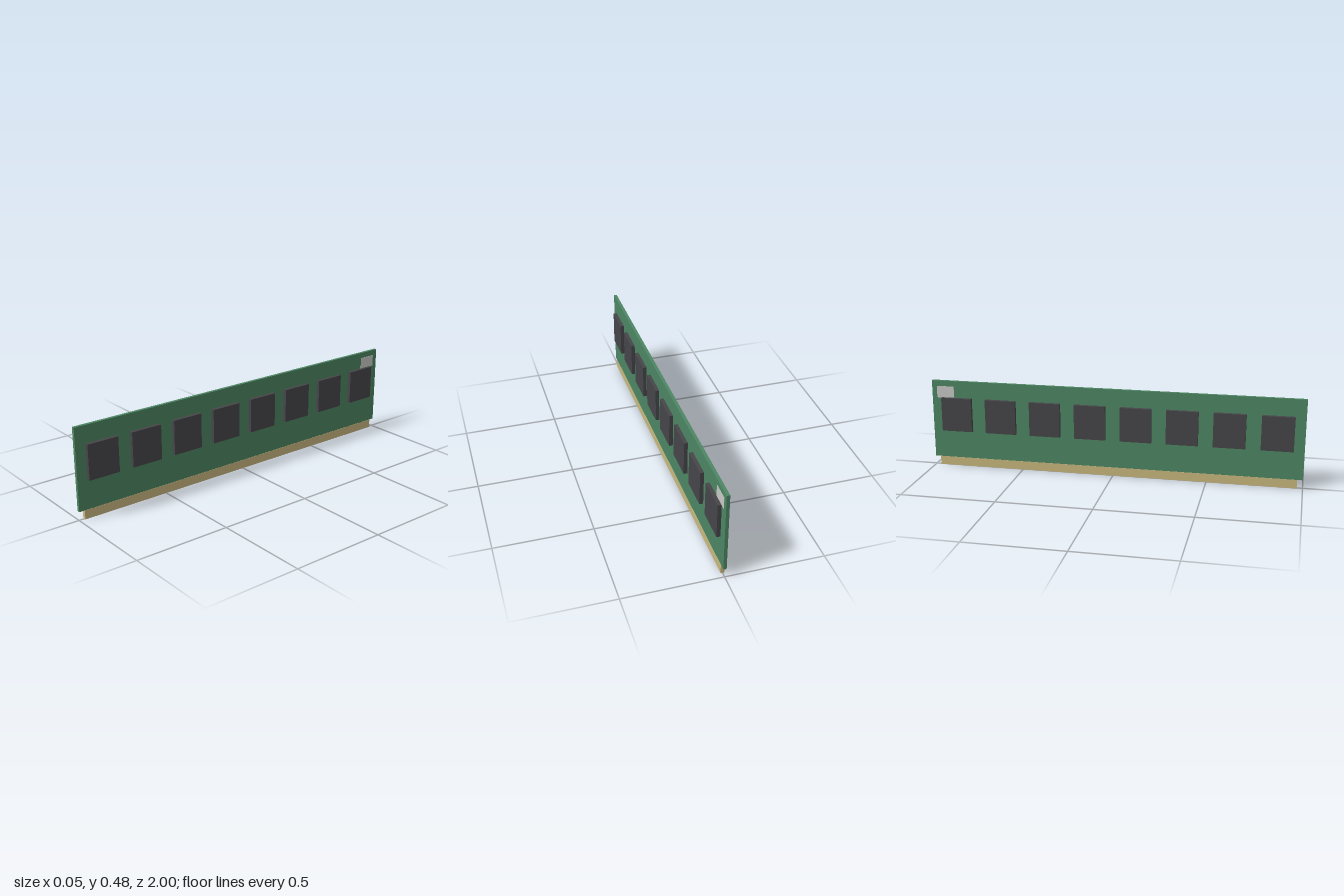
import * as THREE from 'three';

const material = (name, color) => {
  const m = new THREE.MeshStandardMaterial({ color });
  m.name = name;
  return m;
};

export function createModel() {
  const green = material('boardGreen', 0x4d8663);
  const dark = material('chipGrey', 0x464549);
  const gold = material('contactGold', 0xc8b87f);
  const pale = material('labelGrey', 0xc8c9c6);

  const model = new THREE.Group();
  model.name = 'memoryModule';

  // Adds a box given its extents along each axis
  const box = (name, mat, [x0, x1], [y0, y1], [z0, z1], parent = model) => {
    const mesh = new THREE.Mesh(new THREE.BoxGeometry(x1 - x0, y1 - y0, z1 - z0), mat);
    mesh.position.set((x0 + x1) / 2, (y0 + y1) / 2, (z0 + z1) / 2);
    mesh.name = name;
    parent.add(mesh);
  };

  // Circuit board and the contact strip along its lower edge
  const half = 0.0083;
  box('circuitBoard', green, [-half, half], [0.047, 0.477], [-1, 1]);
  box('contactStrip', gold, [-0.0098, 0.0098], [0, 0.047], [-0.971, 0.971]);

  // Eight chips and one corner label on each face
  for (const side of [1, -1]) {
    const face = new THREE.Group();
    face.name = side > 0 ? 'leftFace' : 'rightFace';
    model.add(face);
    const out = (depth) => (side > 0 ? [half, depth] : [-depth, -half]);
    for (let i = 0; i < 8; i++) {
      const z = (i - 3.5) * 0.246;
      box(`chip${i + 1}`, dark, out(0.0275), [0.201, 0.385], [z - 0.084, z + 0.084], face);
    }
    box('cornerLabel', pale, out(0.0095), [0.383, 0.447], [-0.973, -0.877], face);
  }
  return model;
}
